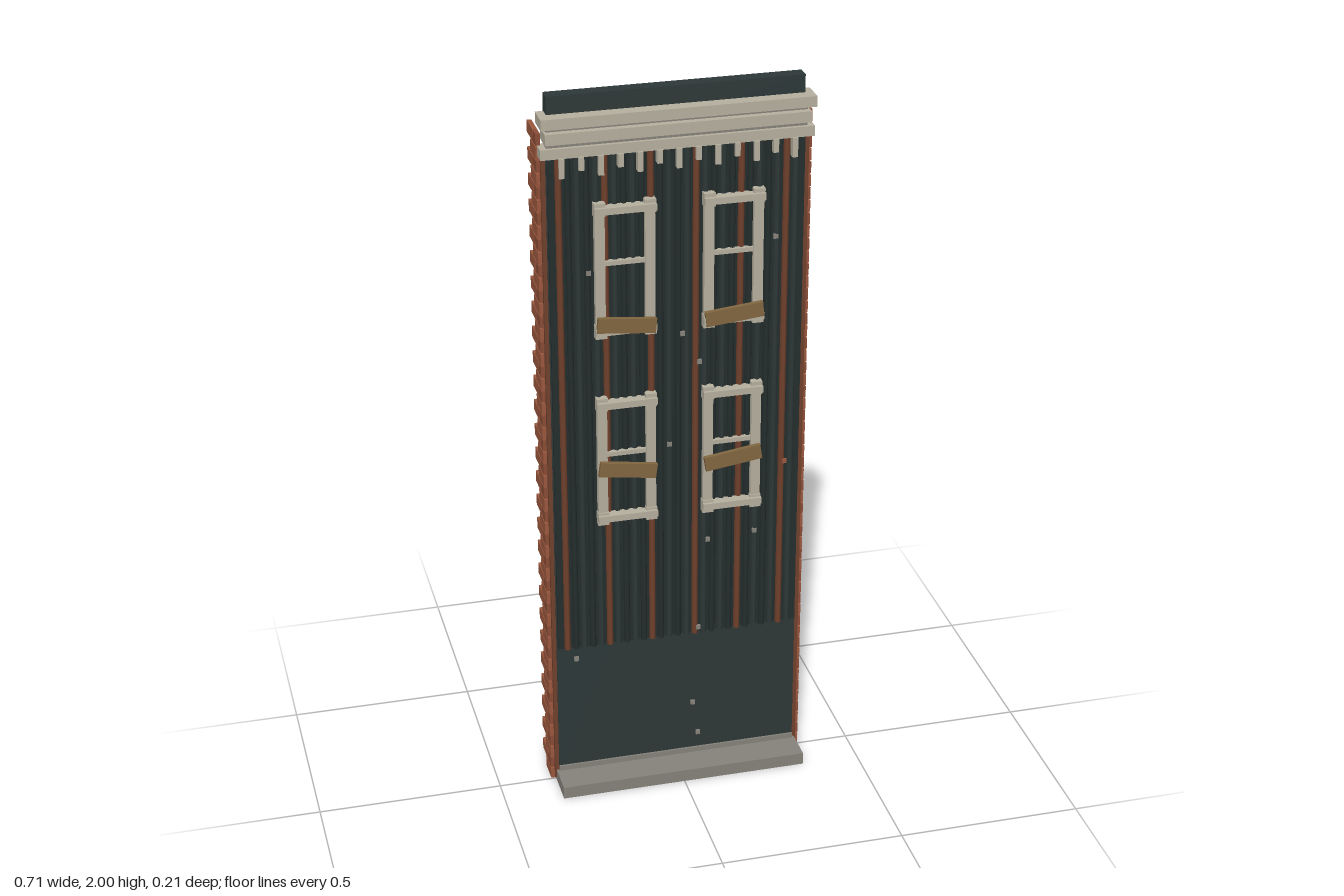
import * as THREE from 'three';

const mat = (name, color, side = THREE.FrontSide) => {
  const m = new THREE.MeshStandardMaterial({ color, side });
  m.name = name;
  return m;
};

export function createModel() {
  const model = new THREE.Group();
  model.name = 'facade';
  const M = {
    wall: mat('dark slate', 0x2d3737),
    rib: mat('dark siding', 0x242d2d),
    rust: mat('rust', 0x70402c),
    brick: mat('brick', 0x9a573e),
    brickDark: mat('dark brick', 0x8a4c36),
    trim: mat('pale trim', 0xb5ae9e),
    stone: mat('grey stone', 0x85827a),
    plank: mat('old wood', 0x806640),
  };

  // Box given by its limits on each axis
  const box = (name, material, x0, x1, y0, y1, z0, z1, parent = model) => {
    const mesh = new THREE.Mesh(new THREE.BoxGeometry(x1 - x0, y1 - y0, z1 - z0), material);
    mesh.position.set((x0 + x1) / 2, (y0 + y1) / 2, (z0 + z1) / 2);
    mesh.name = name;
    parent.add(mesh);
    return mesh;
  };
  const group = (name) => {
    const g = new THREE.Group();
    g.name = name;
    model.add(g);
    return g;
  };

  // Wall, parapet and base
  box('wall', M.wall, -0.335, 0.335, 0.005, 1.85, -0.017, 0.015);
  box('parapet', M.wall, -0.331, 0.331, 1.84, 2, -0.02, 0.017);
  box('plinth', M.stone, -0.342, 0.342, 0, 0.035, -0.012, 0.104);
  box('plinthStrip', M.stone, -0.335, 0.335, 0.035, 0.05, 0, 0.02);

  // Ribbed siding, every fifth rib rusted
  const siding = group('siding');
  box('sidingBacking', M.rib, -0.332, 0.332, 0.43, 1.845, 0.014, 0.024, siding);
  const pitch = 0.0236;
  const ribGeometry = new THREE.CylinderGeometry(0.0085, 0.0085, 1.415, 10);
  for (let i = -13; i <= 13; i++) {
    const rusty = (i + 15) % 5 === 2;
    const rib = new THREE.Mesh(ribGeometry, rusty ? M.rust : i % 2 ? M.wall : M.rib);
    rib.name = rusty ? 'rustyRib' : 'rib';
    rib.scale.z = 1.5;
    rib.position.set(i * pitch, 1.1375, 0.024);
    siding.add(rib);
  }

  // Toothed brick edges on both sides
  for (const s of [-1, 1]) {
    const edge = group(s > 0 ? 'leftBrickEdge' : 'rightBrickEdge');
    const brick = (material, y, z0, z1) =>
      box('brick', material, s * 0.35 - 0.006, s * 0.35 + 0.006, y, y + 0.031, z0, z1, edge);
    box('cornerBoard', M.rust, s * 0.34 - 0.006, s * 0.34 + 0.006, 0.01, 1.845, -0.014, 0.012, edge);
    for (let i = 0; i < 54; i++) {
      const y = 0.004 + i * 0.0352;
      if (i % 2) {
        brick(M.brickDark, y, -0.031, 0.002);
        brick(M.brick, y, -0.103, -0.034);
      } else {
        brick(M.brick, y, -0.064, 0.002);
      }
    }
  }

  // Cornice bands and brackets
  const cornice = group('cornice');
  box('topBand', M.trim, -0.352, 0.352, 1.925, 1.953, -0.015, 0.052, cornice);
  box('middleBand', M.trim, -0.341, 0.341, 1.883, 1.912, -0.012, 0.046, cornice);
  box('lowerBand', M.trim, -0.352, 0.352, 1.843, 1.87, -0.012, 0.038, cornice);
  box('corniceCore', M.stone, -0.335, 0.335, 1.845, 1.945, 0, 0.028, cornice);
  for (let i = 0; i < 13; i++) {
    const x = -0.3 + i * 0.05;
    box('bracket', M.trim, x - 0.007, x + 0.007, i % 2 ? 1.81 : 1.793, 1.845, 0.02, 0.045, cornice);
  }

  // Boarded windows, with a recess panel at the back
  for (const s of [-1, 1]) {
    for (const [base, plankY, tilt] of [[1.35, 1.385, 0.1], [0.81, 0.97, 0.14]]) {
      const win = group('window');
      const x = s * 0.142;
      box('backPanel', M.wall, s * 0.14 - 0.064, s * 0.14 + 0.064, base + 0.01, base + 0.35, -0.03, -0.015, win);
      for (const e of [-1, 1]) {
        const px = x + e * 0.065;
        box('jamb', M.trim, px - 0.013, px + 0.013, base + 0.01, base + 0.365, 0.03, 0.047, win);
        for (const y of [base + 0.018, base + 0.352]) {
          box('cornerBlock', M.trim, px - 0.015, px + 0.015, y - 0.018, y + 0.018, 0.03, 0.051, win);
        }
      }
      box('headRail', M.trim, x - 0.08, x + 0.08, base + 0.342, base + 0.36, 0.03, 0.06, win);
      box('sillRail', M.trim, x - 0.08, x + 0.08, base + 0.012, base + 0.03, 0.03, 0.06, win);
      box('crossBar', M.trim, x - 0.052, x + 0.052, base + 0.198, base + 0.21, 0.03, 0.044, win);
      const board = box('plank', M.plank, x - 0.077, x + 0.077, plankY - 0.02, plankY + 0.02, 0.05, 0.063, win);
      board.rotation.z = s * tilt;
    }
  }

  // Small bolts scattered over the front
  const bolts = group('bolts');
  const spots = [[-0.285, 0.4], [0.04, 0.21], [0.055, 0.11], [0.055, 0.45], [0.08, 0.72], [0.21, 0.73],
    [0.055, 1.25], [0.01, 1.335], [0.255, 1.58], [-0.235, 1.53], [-0.025, 1.02], [0.29, 0.93]];
  spots.forEach(([x, y], i) => {
    const last = i === spots.length - 1;
    box('bolt', last ? M.brick : M.stone, x - 0.006, x + 0.006, y - 0.006, y + 0.006, 0.032, 0.039, bolts);
  });

  return model;
}
